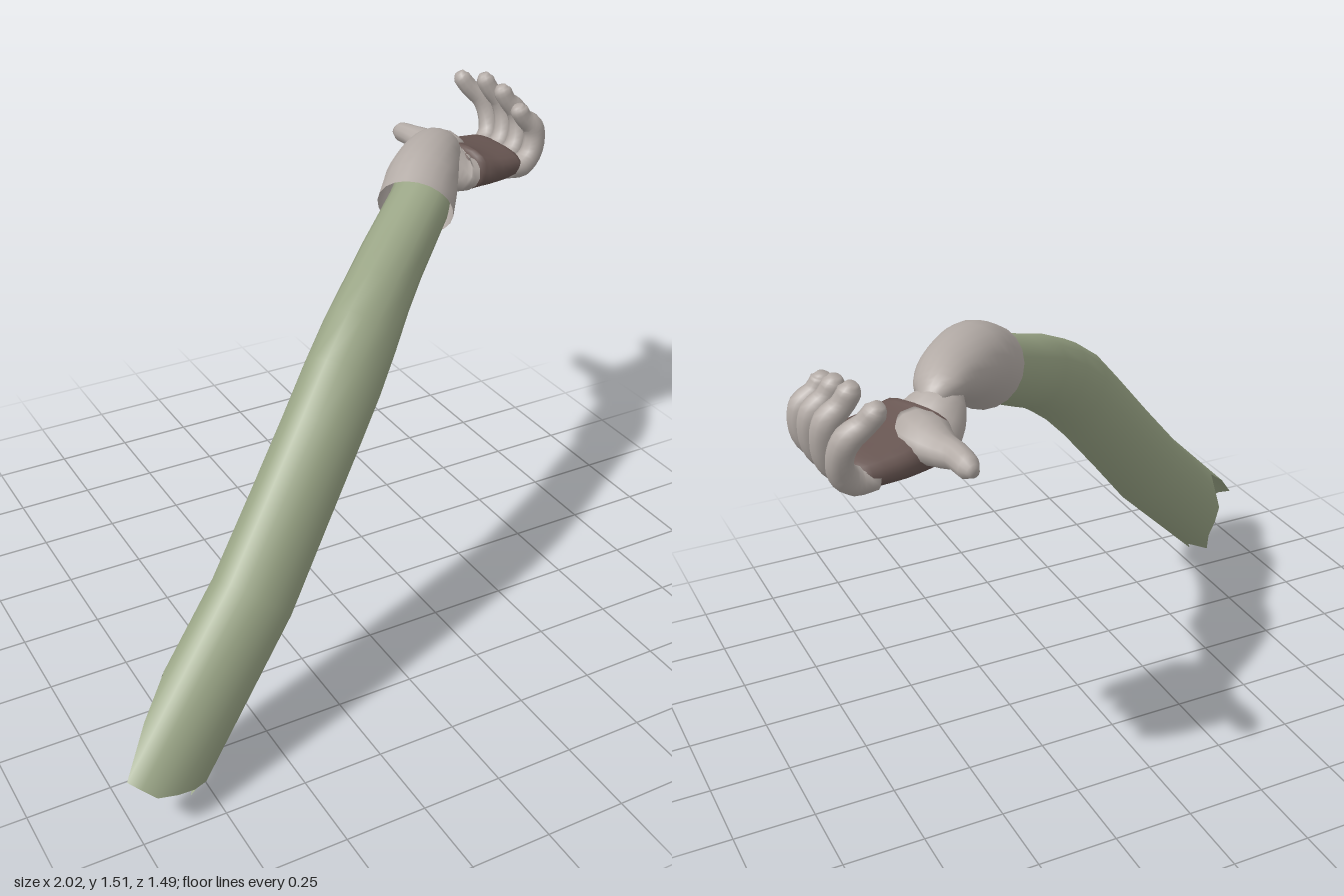
import * as THREE from 'three';

const material = (name, color, side = THREE.FrontSide) => {
  const m = new THREE.MeshStandardMaterial({ color, side });
  m.name = name;
  return m;
};

// Loft oval rings along a path. Each section is [x, y, z, radiusU, radiusV];
// U is the direction of `up` made square to the path, V is across it.
function loft(sections, { sides = 16, steps = 3, up = null, power = 1, jag = null, caps = true } = {}) {
  const curve = new THREE.CatmullRomCurve3(sections.map(s => new THREE.Vector3(s[0], s[1], s[2])));
  const last = sections.length - 1, rings = last * steps;
  const pos = [], index = [];
  const round = v => Math.sign(v) * Math.abs(v) ** power;
  for (let i = 0; i <= rings; i++) {
    const k = i / rings, s = Math.min(Math.floor(i / steps), last - 1), f = i / steps - s;
    const c = curve.getPoint(k), t = curve.getTangent(k);
    const u = up ? up.clone().addScaledVector(t, -up.dot(t)) : new THREE.Vector3(0, 0, 1).cross(t);
    u.normalize();
    const v = t.clone().cross(u);
    const ru = THREE.MathUtils.lerp(sections[s][3], sections[s + 1][3], f);
    const rv = THREE.MathUtils.lerp(sections[s][4], sections[s + 1][4], f);
    for (let j = 0; j < sides; j++) {
      const a = j / sides * Math.PI * 2;
      const p = c.clone().addScaledVector(u, ru * round(Math.cos(a))).addScaledVector(v, rv * round(Math.sin(a)));
      if (jag && i === 0) p.addScaledVector(t, jag[j]);
      pos.push(p.x, p.y, p.z);
    }
  }
  for (let i = 0; i < rings; i++) {
    for (let j = 0; j < sides; j++) {
      const a = i * sides + j, b = i * sides + (j + 1) % sides;
      index.push(a, b, b + sides, a, b + sides, a + sides);
    }
  }
  if (caps) {
    const n = pos.length / 3, e = rings * sides;
    pos.push(...sections[0].slice(0, 3), ...sections[last].slice(0, 3));
    for (let j = 0; j < sides; j++) {
      const j2 = (j + 1) % sides;
      index.push(j2, j, n, e + j, e + j2, n + 1);
    }
  }
  const g = new THREE.BufferGeometry();
  g.setAttribute('position', new THREE.Float32BufferAttribute(pos, 3));
  g.setIndex(index);
  g.computeVertexNormals();
  return g;
}

export function createModel() {
  const model = new THREE.Group();
  model.name = 'arm';
  const green = material('sleeve green', 0x9aa586, THREE.DoubleSide);
  const grey = material('glove grey', 0xb3aba6, THREE.DoubleSide);
  const brown = material('palm brown', 0x685652);
  const up = new THREE.Vector3(0, 1, 0);
  const add = (name, geometry, mat, parent = model) => {
    const mesh = new THREE.Mesh(geometry, mat);
    mesh.name = name;
    parent.add(mesh);
  };

  // Sleeve with a torn, open shoulder end
  const tear = [0, -0.16, -0.16, -0.16, -0.13, -0.1, -0.07, -0.05,
    -0.13, -0.04, -0.11, -0.02, 0.02, 0.05, 0.13, 0.15];
  add('sleeve', loft([
    [-0.82, 0.2, 0.6, 0.14, 0.105],
    [-0.52, 0.5, 0.47, 0.138, 0.108],
    [-0.36, 0.69, 0.385, 0.132, 0.11],
    [-0.2, 0.88, 0.3, 0.13, 0.11],
    [-0.1, 0.99, 0.24, 0.132, 0.108],
    [0, 1.075, 0.165, 0.128, 0.105],
    [0.1, 1.145, 0.085, 0.118, 0.1],
    [0.2, 1.2, 0, 0.11, 0.1],
    [0.38, 1.3, -0.14, 0.098, 0.098],
    [0.44, 1.34, -0.2, 0.09, 0.09],
  ], { steps: 1, jag: tear, caps: false }), green);

  // Flared glove cuff, open around the sleeve
  add('cuff', loft([
    [0.365, 1.295, -0.135, 0.125, 0.12],
    [0.43, 1.345, -0.205, 0.12, 0.115],
    [0.5, 1.373, -0.28, 0.097, 0.1],
    [0.56, 1.382, -0.34, 0.075, 0.085],
    [0.605, 1.375, -0.392, 0.052, 0.07],
    [0.635, 1.36, -0.42, 0.03, 0.04],
  ], { sides: 20, caps: false }), grey);

  const hand = new THREE.Group();
  hand.name = 'hand';
  model.add(hand);

  // Wrist flaring into the heel of the hand
  add('wrist', loft([
    [0.575, 1.365, -0.37, 0.045, 0.05],
    [0.61, 1.325, -0.4, 0.075, 0.085],
    [0.65, 1.285, -0.415, 0.083, 0.125],
    [0.69, 1.275, -0.42, 0.075, 0.135],
  ], { up, caps: false }), grey, hand);

  // Palm
  add('palm', loft([
    [0.635, 1.3, -0.39, 0.05, 0.08],
    [0.67, 1.288, -0.41, 0.077, 0.125],
    [0.72, 1.28, -0.43, 0.067, 0.145],
    [0.8, 1.273, -0.45, 0.055, 0.155],
    [0.88, 1.268, -0.465, 0.047, 0.145],
    [0.91, 1.268, -0.465, 0.03, 0.125],
  ], { up, power: 0.75, sides: 20 }), brown, hand);

  // Thumb pointing backwards
  add('thumb', loft([
    [0.69, 1.3, -0.44, 0.06, 0.07],
    [0.695, 1.305, -0.52, 0.063, 0.08],
    [0.68, 1.305, -0.6, 0.045, 0.052],
    [0.665, 1.31, -0.66, 0.036, 0.038],
    [0.66, 1.305, -0.72, 0.033, 0.032],
    [0.655, 1.3, -0.747, 0.015, 0.015],
  ], { up, sides: 12 }), grey, hand);

  // Curled fingers: base z, tip z, tip height, outward reach
  const fingers = [
    ['littleFinger', -0.35, -0.368, 1.47, 0.005],
    ['ringFinger', -0.43, -0.48, 1.505, 0.01],
    ['middleFinger', -0.505, -0.575, 1.52, 0],
    ['indexFinger', -0.575, -0.68, 1.5, -0.03],
  ];
  for (const [name, z0, z1, top, reach] of fingers) {
    const h = top - 1.25;
    const at = (x, k, r) => [x + reach * k, 1.25 + h * k, z0 + (z1 - z0) * k, r, r];
    add(name, loft([
      at(0.85, 0.03, 0.032),
      at(0.91, 0.05, 0.04),
      at(0.95, 0.2, 0.037),
      at(0.965, 0.45, 0.036),
      at(0.955, 0.64, 0.037),
      at(0.92, 0.78, 0.031),
      at(0.9, 0.92, 0.031),
      at(0.895, 1, 0.016),
    ], { sides: 10 }), grey, hand);
  }
  return model;
}
